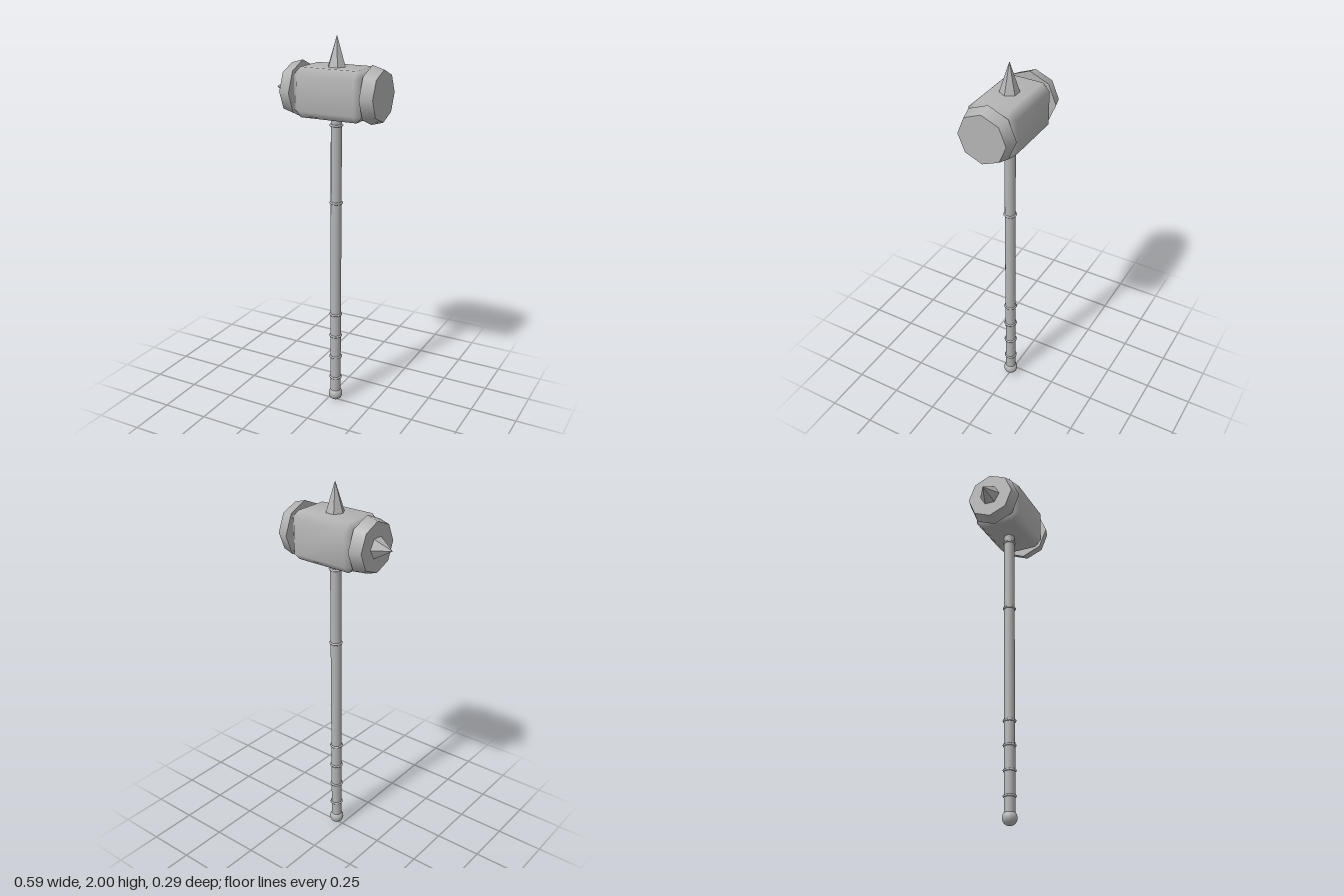
import * as THREE from 'three';
import { mergeVertices } from 'three/addons/utils/BufferGeometryUtils.js';
import { ConvexGeometry } from 'three/addons/geometries/ConvexGeometry.js';

const CX = 0.043;   // handle and head axis
const HEAD_Y = 1.725;

// Box with every edge chamfered by b and smooth shared normals
function chamferedBox(hx, hy, hz, b) {
  const points = [];
  for (const sx of [-1, 1]) for (const sy of [-1, 1]) for (const sz of [-1, 1]) {
    points.push(
      new THREE.Vector3(sx * hx, sy * (hy - b), sz * (hz - b)),
      new THREE.Vector3(sx * (hx - b), sy * hy, sz * (hz - b)),
      new THREE.Vector3(sx * (hx - b), sy * (hy - b), sz * hz));
  }
  let geometry = new ConvexGeometry(points);
  geometry.deleteAttribute('normal');
  geometry = mergeVertices(geometry, 1e-4);
  geometry.computeVertexNormals();
  return geometry;
}

// Six-sided flat-faced spike pointing up from its base
function spikeGeometry(radius, height) {
  const geometry = new THREE.ConeGeometry(radius, height, 6).toNonIndexed();
  geometry.translate(0, height / 2, 0);
  geometry.computeVertexNormals();
  return geometry;
}

export function createModel() {
  const model = new THREE.Group();
  model.name = 'warHammer';
  const steel = new THREE.MeshStandardMaterial({ color: 0xb4b4b4 });
  steel.name = 'grey steel';

  function add(name, geometry, x, y) {
    const mesh = new THREE.Mesh(geometry, steel);
    mesh.name = name;
    mesh.position.set(x, y, 0);
    model.add(mesh);
    return mesh;
  }

  // Handle with pommel and grip rings
  add('handle', new THREE.CylinderGeometry(0.028, 0.028, 1.6, 16), CX - 0.002, 0.84);
  add('pommel', new THREE.SphereGeometry(0.038, 20, 14), CX - 0.002, 0.038);
  for (const y of [0.143, 0.27, 0.397, 0.525, 1.155, 1.56]) {
    const ring = new THREE.TorusGeometry(0.029, 0.006, 8, 20);
    ring.rotateX(Math.PI / 2);
    add('handleRing', ring, CX - 0.002, y);
  }

  // Head block
  add('headBlock', chamferedBox(0.19, 0.124, 0.127, 0.037), CX, HEAD_Y);

  // Octagonal striking caps, widest towards the block
  for (const side of [-1, 1]) {
    const cap = new THREE.CylinderGeometry(0.127, 0.145, 0.063, 8);
    cap.rotateZ(-side * Math.PI / 2);
    add(side < 0 ? 'rightCap' : 'leftCap', cap, CX + side * 0.2215, HEAD_Y);
  }

  // Spikes on top and on the right cap
  const topSpike = add('topSpike', spikeGeometry(0.05, 0.157), CX, 1.843);
  topSpike.rotation.y = Math.PI / 2;
  const sideSpike = add('sideSpike', spikeGeometry(0.057, 0.09), -0.208, HEAD_Y);
  sideSpike.rotation.z = Math.PI / 2;

  return model;
}
